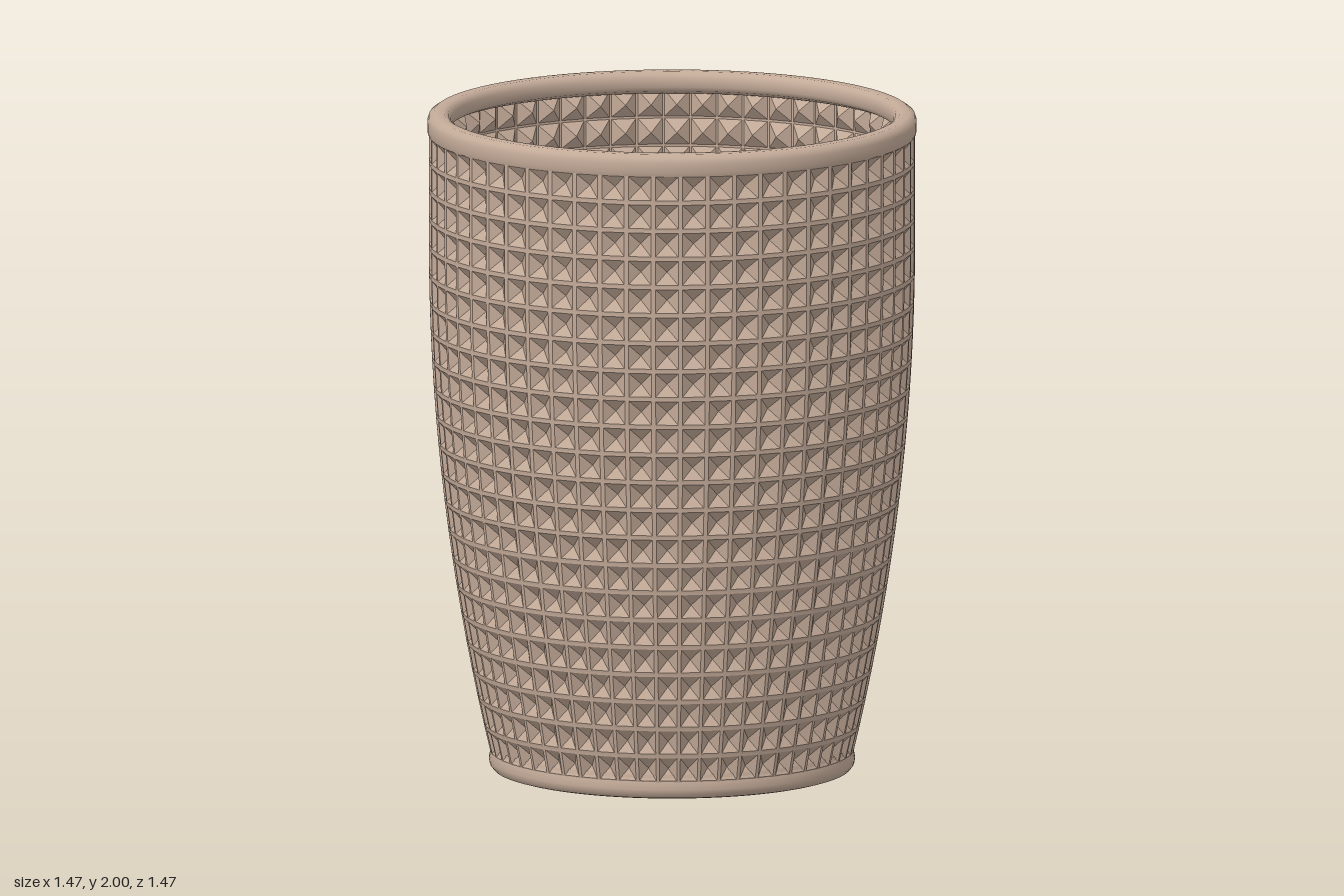
import * as THREE from 'three';
import { toCreasedNormals } from 'three/addons/utils/BufferGeometryUtils.js';

const COLS = 56, ROWS = 22, Y0 = 0.05, Y1 = 1.94;

// Outer radius of the pot at a height: straight on top, tapering below
const radiusAt = (y) => 0.73 - 0.077 * Math.max(0, 1.6 - y) ** 2;

// Wall of pyramid cells framed by thin ribs.
// inset: how far the ribs lie inside the outline; depth: how far the tips go inward
function studdedWall(inset, depth, margin, inward) {
  const pos = [];
  const point = (u, v, d) => {
    const y = Y0 + (Y1 - Y0) * v / ROWS;
    const a = u / COLS * Math.PI * 2;
    const r = radiusAt(y) - inset - d;
    return [r * Math.sin(a), y, r * Math.cos(a)];
  };
  const tri = (a, b, c) => inward ? pos.push(...a, ...c, ...b) : pos.push(...a, ...b, ...c);
  const corners = [[0, 0], [1, 0], [1, 1], [0, 1]];
  for (let row = 0; row < ROWS; row++) {
    for (let col = 0; col < COLS; col++) {
      const frame = corners.map(([u, v]) => point(col + u, row + v, 0));
      const inner = corners.map(([u, v]) => point(
        col + margin + u * (1 - 2 * margin), row + margin + v * (1 - 2 * margin), 0));
      const tip = point(col + 0.5, row + 0.5, depth);
      for (let i = 0; i < 4; i++) {
        const j = (i + 1) % 4;
        tri(frame[i], frame[j], inner[j]);
        tri(frame[i], inner[j], inner[i]);
        tri(inner[i], inner[j], tip);
      }
    }
  }
  const geo = new THREE.BufferGeometry();
  geo.setAttribute('position', new THREE.Float32BufferAttribute(pos, 3));
  geo.computeVertexNormals();
  return geo;
}

// Closed ring turned from a profile, with smooth curves and sharp corners
function turned(points) {
  const profile = points.map(([x, y]) => new THREE.Vector2(x, y));
  return toCreasedNormals(new THREE.LatheGeometry(profile, 112), 0.8);
}

export function createModel() {
  const group = new THREE.Group();
  const clay = new THREE.MeshStandardMaterial({ color: 0xc4ab99 });
  clay.name = 'clay';
  const add = (name, geo) => {
    const mesh = new THREE.Mesh(geo, clay);
    mesh.name = name;
    group.add(mesh);
  };

  // Wall: recessed pyramids outside, raised pyramids inside
  add('outerWall', studdedWall(0, 0.026, 0.08, false));
  add('innerWall', studdedWall(0.01, 0.03, 0.04, true));

  // Rounded lip
  add('rim', turned([
    [0.7, 1.93], [0.732, 1.935], [0.735, 1.945], [0.735, 1.975], [0.73, 1.99], [0.715, 2],
    [0.685, 2], [0.672, 1.992], [0.666, 1.978], [0.666, 1.955], [0.672, 1.942], [0.7, 1.93],
  ]));

  // Base plate with drain hole
  add('base', turned([
    [0.05, 0], [0.525, 0], [0.538, 0.004], [0.547, 0.016], [0.55, 0.03], [0.546, 0.052],
    [0.54, 0.075], [0.53, 0.065], [0.505, 0.06], [0.05, 0.056], [0.05, 0],
  ]));
  return group;
}
